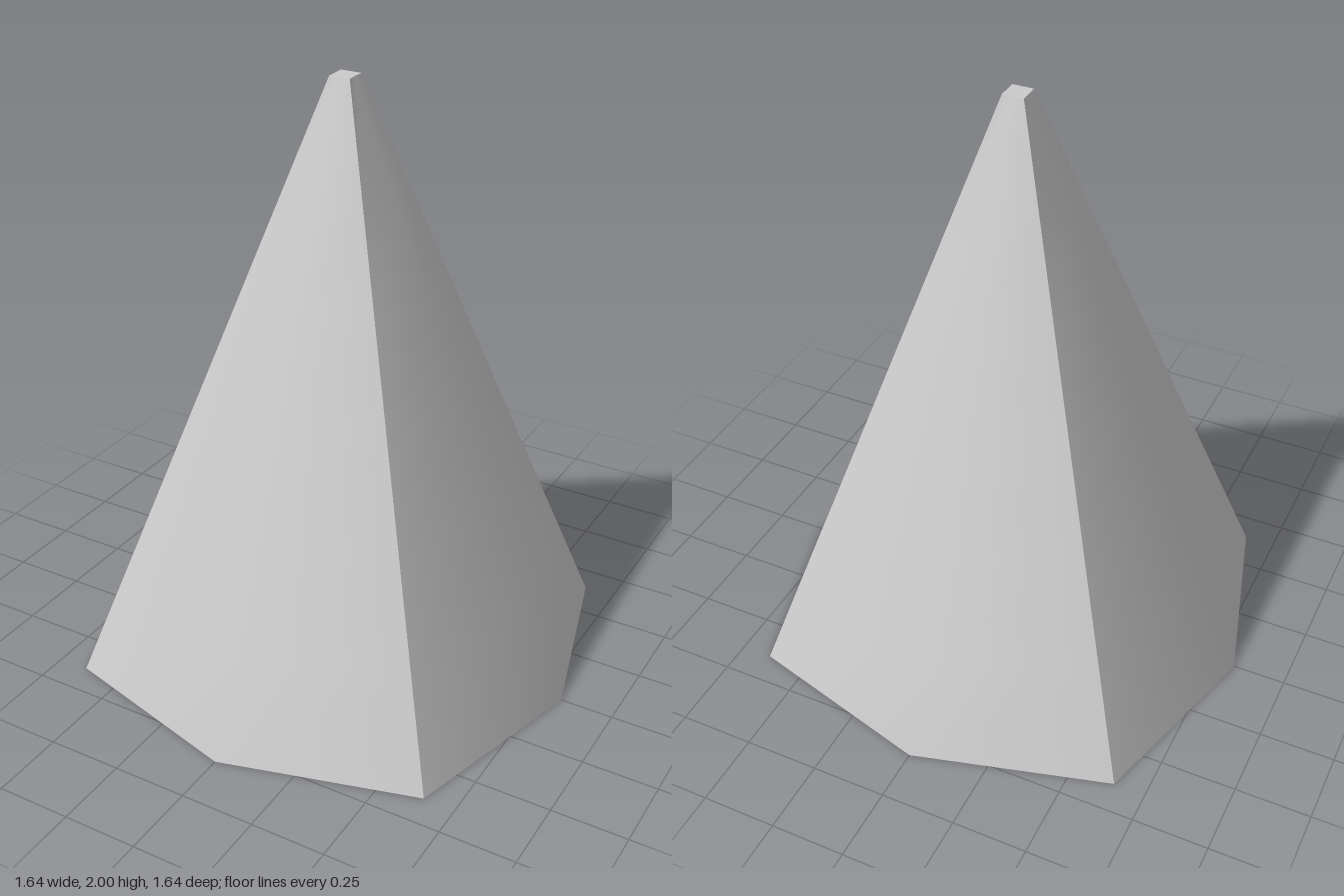
import * as THREE from 'three';
import { toCreasedNormals } from 'three/addons/utils/BufferGeometryUtils.js';

const HEIGHT = 2;
const TOP = 0.035; // half width of the small square tip
const BASE_CORNER = 0.645; // x and z of the four base corners
const BASE_MIDDLE = 0.822; // reach of the bulging middle of each base side

// Eight-sided spire: a bulging square at the base tapering to a true square at the tip
function createSpireGeometry() {
  const geometry = new THREE.CylinderGeometry(1, 1, HEIGHT, 8, 6);
  geometry.translate(0, HEIGHT / 2, 0);
  const position = geometry.attributes.position;
  for (let i = 0; i < position.count; i++) {
    const x = position.getX(i);
    const y = position.getY(i);
    const z = position.getZ(i);
    if (Math.hypot(x, z) < 0.5) continue; // cap centres stay on the axis
    const isCorner = Math.abs(x * z) > 0.1;
    const base = isCorner ? BASE_CORNER : BASE_MIDDLE;
    const reach = THREE.MathUtils.lerp(base, TOP, y / HEIGHT);
    position.setXYZ(i, Math.round(x) * reach, y, Math.round(z) * reach);
  }
  // Soft across the middle of each side, sharp at the corners and caps
  return toCreasedNormals(geometry, THREE.MathUtils.degToRad(42));
}

export function createModel() {
  const model = new THREE.Group();
  model.name = 'taperedSpire';
  const material = new THREE.MeshStandardMaterial({ color: 0xcccccc });
  const spire = new THREE.Mesh(createSpireGeometry(), material);
  spire.name = 'spire';
  model.add(spire);
  return model;
}
